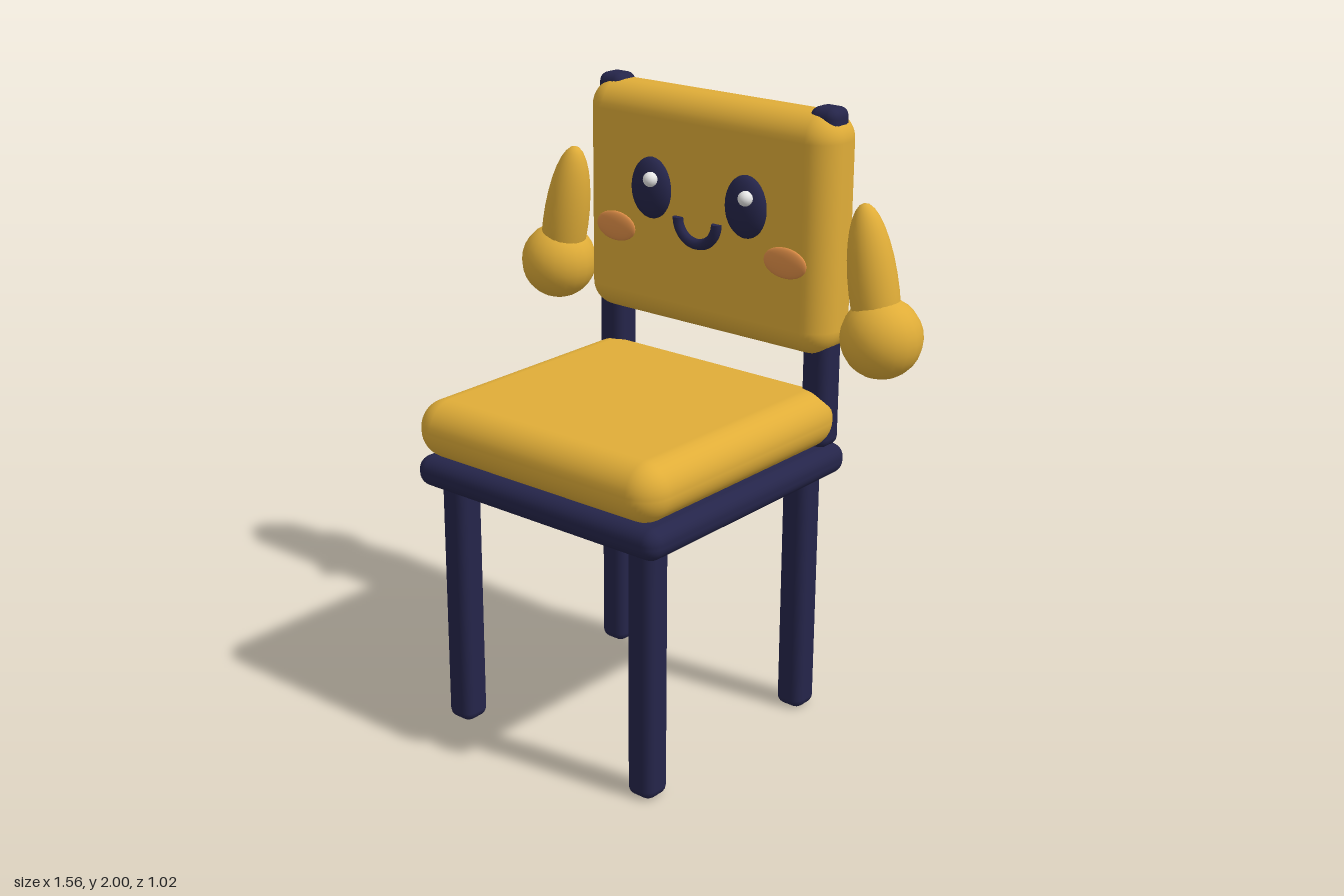
import * as THREE from 'three';
import { RoundedBoxGeometry } from 'three/addons/geometries/RoundedBoxGeometry.js';

function material(name, color) {
  const m = new THREE.MeshStandardMaterial({ color });
  m.name = name;
  return m;
}

export function createModel() {
  const yellow = material('mustard yellow', 0xe0ad38);
  const navy = material('dark navy', 0x25254a);
  const orange = material('cheek orange', 0xe29048);
  const white = material('white', 0xf8f8f8);

  const model = new THREE.Group();
  model.name = 'chair';

  const add = (name, geometry, mat, x, y, z) => {
    const mesh = new THREE.Mesh(geometry, mat);
    mesh.name = name;
    mesh.position.set(x, y, z);
    model.add(mesh);
    return mesh;
  };
  // Rounded box given by its limits on each axis
  const box = (name, mat, [x0, x1], [y0, y1], [z0, z1], radius, segments = 4) =>
    add(name, new RoundedBoxGeometry(x1 - x0, y1 - y0, z1 - z0, segments, radius), mat,
      (x0 + x1) / 2, (y0 + y1) / 2, (z0 + z1) / 2);
  const ellipsoid = (name, mat, x, y, z, rx, ry, rz) => {
    const mesh = add(name, new THREE.SphereGeometry(1, 24, 16), mat, x, y, z);
    mesh.scale.set(rx, ry, rz);
    return mesh;
  };

  // Seat and backrest
  box('seatFrame', navy, [-0.485, 0.485], [0.822, 0.922], [-0.475, 0.495], 0.045);
  box('seatCushion', yellow, [-0.483, 0.483], [0.922, 1.11], [-0.445, 0.51], 0.09, 5);
  box('backCushion', yellow, [-0.483, 0.483], [1.225, 1.983], [-0.508, -0.307], 0.085, 5);

  for (const side of [-1, 1]) {
    const prefix = side > 0 ? 'left' : 'right';

    // Legs
    for (const [end, z] of [['Front', 0.392], ['Back', -0.37]]) {
      const x = side * 0.381;
      box(prefix + end + 'Leg', navy, [x - 0.049, x + 0.049], [0.005, 0.84], [z - 0.049, z + 0.049], 0.03, 2);
    }

    // Post carrying the backrest, showing at its top corner
    const px = side * 0.417;
    box(prefix + 'BackPost', navy, [px - 0.049, px + 0.049], [0.92, 2], [-0.456, -0.358], 0.03, 2);

    // Raised arm ending in a round hand
    const arm = ellipsoid(prefix + 'Arm', yellow, side * 0.622, 1.47, -0.375, 0.077, 0.27, 0.077);
    arm.rotation.z = side * 0.175;
    add(prefix + 'Hand', new THREE.SphereGeometry(0.127, 20, 14), yellow, side * 0.655, 1.332, -0.376);

    // Eye, highlight and cheek
    const ex = side * 0.188;
    ellipsoid(prefix + 'Eye', navy, ex, 1.672, -0.307, 0.078, 0.1, 0.043);
    add(prefix + 'EyeHighlight', new THREE.SphereGeometry(0.024, 12, 8), white, ex + 0.026, 1.71, -0.266);
    ellipsoid(prefix + 'Cheek', orange, side * 0.339, 1.521, -0.307, 0.081, 0.049, 0.014);
  }

  // Smile: lower half ring with closed ends
  const smile = new THREE.Group();
  smile.name = 'mouth';
  smile.position.set(0, 1.597, -0.303);
  const arc = new THREE.Mesh(new THREE.TorusGeometry(0.077, 0.018, 10, 24, Math.PI), navy);
  arc.name = 'mouthCurve';
  arc.rotation.z = Math.PI;
  smile.add(arc);
  for (const side of [-1, 1]) {
    const cap = new THREE.Mesh(new THREE.CircleGeometry(0.018, 10), navy);
    cap.name = 'mouthEnd';
    cap.position.x = side * 0.077;
    cap.rotation.x = -Math.PI / 2;
    smile.add(cap);
  }
  model.add(smile);

  return model;
}
